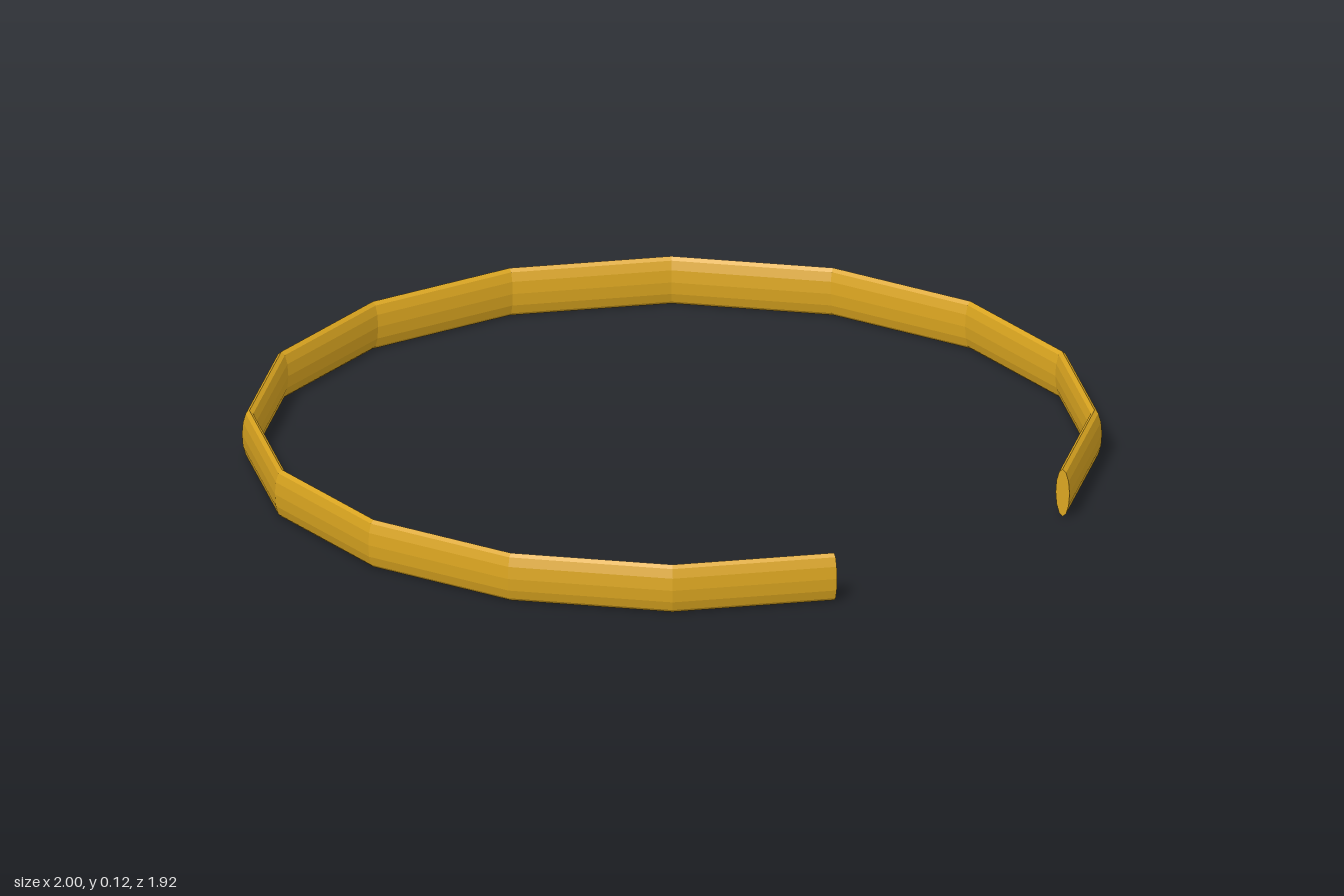
import * as THREE from 'three';

export function createModel() {
  const group = new THREE.Group();
  group.name = 'openBangle';
  const material = new THREE.MeshStandardMaterial({ color: 0xdaa520, flatShading: true });

  const halfThick = 0.0175, halfHeight = 0.059, radius = 1 - halfThick;
  const sides = 12, arc = Math.PI * 2 * 14 / 16;
  const stretch = halfHeight / halfThick;

  // Turn a part made in the torus plane so the gap faces the front, then lay it flat
  function place(geometry, name) {
    geometry.scale(1, 1, stretch);
    geometry.rotateZ(Math.PI / 2 - arc / 2);
    geometry.rotateX(-Math.PI / 2);
    geometry.translate(0, halfHeight, 0.038);
    const mesh = new THREE.Mesh(geometry, material);
    mesh.name = name;
    group.add(mesh);
  }

  // Band: fourteen straight segments of a sixteen-sided ring, oval in section
  place(new THREE.TorusGeometry(radius, halfThick, sides, 14, arc), 'band');

  // Flat caps closing the two open ends
  const cap = (turn) => new THREE.CircleGeometry(halfThick, sides).rotateX(turn).translate(radius, 0, 0);
  place(cap(Math.PI / 2), 'leftEndCap');
  place(cap(-Math.PI / 2).rotateZ(arc), 'rightEndCap');

  return group;
}
